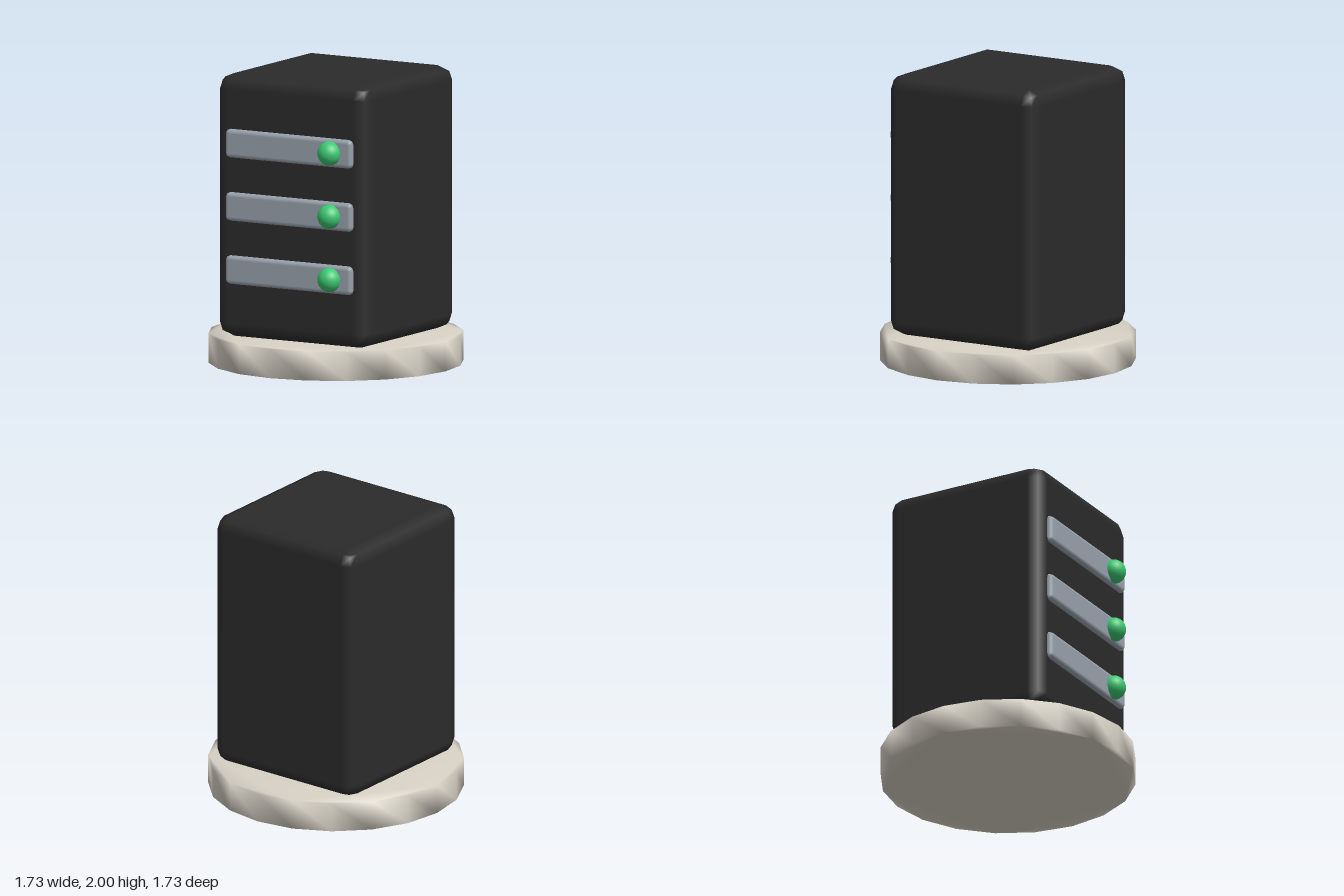
import * as THREE from 'three';
import { mergeVertices } from 'three/addons/utils/BufferGeometryUtils.js';
import { RoundedBoxGeometry } from 'three/addons/geometries/RoundedBoxGeometry.js';

const material = (name, color) => {
  const m = new THREE.MeshStandardMaterial({ color });
  m.name = name;
  return m;
};

// Twenty-sided disc with normals smoothed over its rim
function discGeometry(radius, height, sides) {
  const points = [];
  for (let i = 0; i < sides; i++) {
    const a = (i / sides) * Math.PI * 2;
    points.push(new THREE.Vector2(Math.cos(a) * radius, Math.sin(a) * radius));
  }
  let g = new THREE.ExtrudeGeometry(new THREE.Shape(points), { depth: height, bevelEnabled: false });
  g.rotateX(-Math.PI / 2);
  g.deleteAttribute('normal');
  g.deleteAttribute('uv');
  g = mergeVertices(g, 1e-4);
  g.computeVertexNormals();
  return g;
}

export function createModel() {
  const group = new THREE.Group();
  group.name = 'serverTower';

  const charcoal = material('charcoal', 0x2b2b2b);
  const steel = material('steel grey', 0x99a2ad);
  const green = material('light green', 0x3cc873);
  const stone = material('warm stone', 0xd8d2c6);

  const add = (name, geometry, mat, x, y, z) => {
    const mesh = new THREE.Mesh(geometry, mat);
    mesh.name = name;
    mesh.position.set(x, y, z);
    group.add(mesh);
  };

  // Base and cabinet
  add('base', discGeometry(0.866, 0.2, 20), stone, 0, 0, 0);
  add('cabinet', new RoundedBoxGeometry(1.2, 1.8, 1.2, 1, 0.1), charcoal, 0, 1.1, 0);

  // Three drive bays, each with an indicator light
  const bay = new RoundedBoxGeometry(1, 0.196, 0.1, 1, 0.03);
  const light = new THREE.SphereGeometry(0.083, 24, 16);
  for (let i = 0; i < 3; i++) {
    const y = 0.67 + i * 0.433;
    add('driveBay' + (i + 1), bay, steel, 0, y, 0.583);
    add('indicatorLight' + (i + 1), light, green, 0.333, y, 0.635);
  }
  return group;
}
